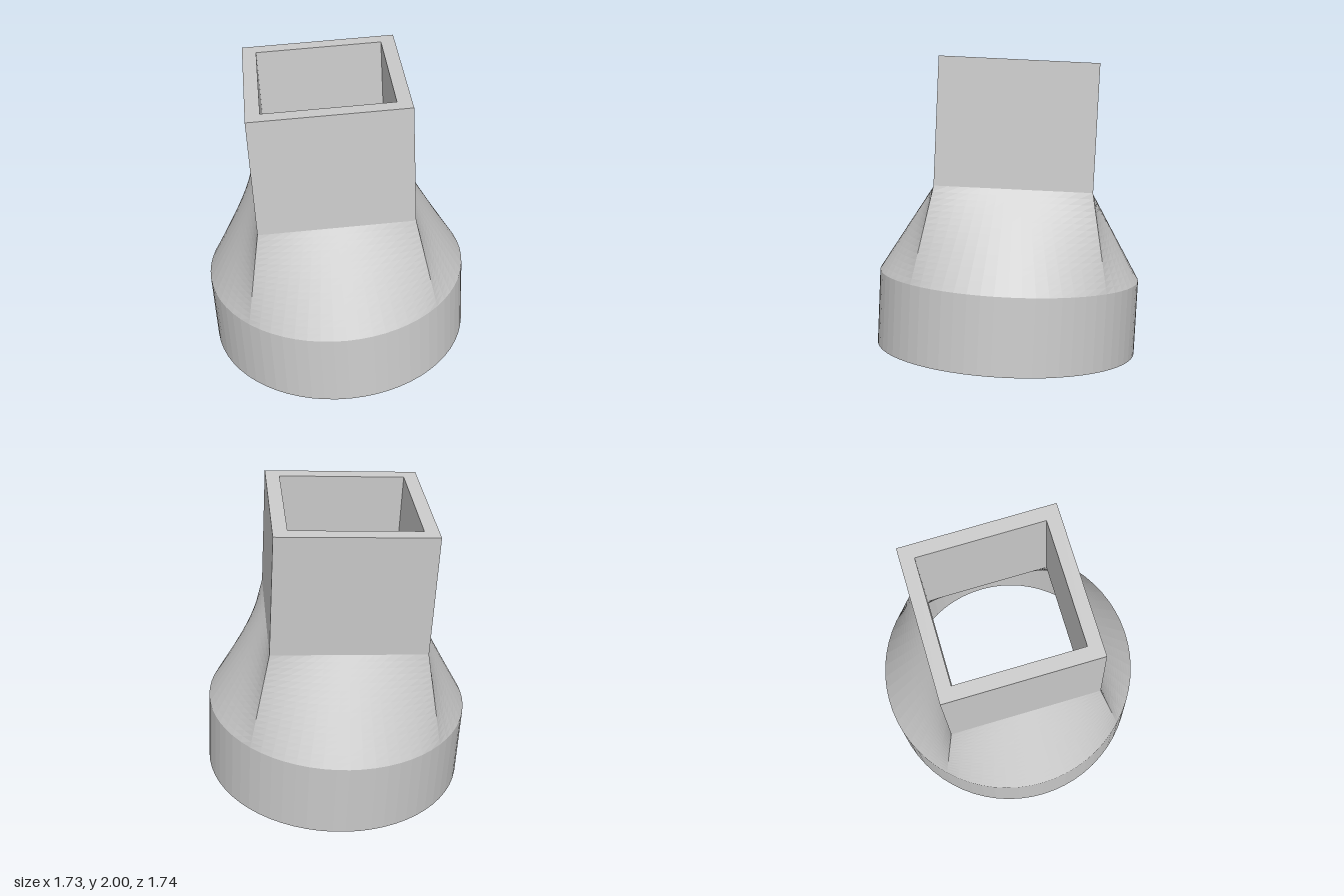
import * as THREE from 'three';

const SEGMENTS = 64, STEPS = 16;
const WALL = 0.09, RADIUS = 0.857, HALF = 0.495;
const COLLAR_TOP = 0.49, SQUARE_BASE = 1.1, TOP = 1.9;
const material = new THREE.MeshStandardMaterial({ color: 0xcccccc, flatShading: true });

function addPart(group, name, geometry) {
  const mesh = new THREE.Mesh(geometry, material);
  mesh.name = name;
  group.add(mesh);
}

// Hollow wall turned from [radius, height] pairs
function turned(profile, sides, start = 0) {
  return new THREE.LatheGeometry(profile.map(([r, y]) => new THREE.Vector2(r, y)), sides, start);
}

// Straight blend from a circle up to a square, for both skins of the wall
function circleToSquare() {
  const positions = [], index = [];
  for (const inset of [0, WALL]) {
    const base = positions.length / 3;
    for (let j = 0; j <= STEPS; j++) {
      const t = j / STEPS;
      for (let i = 0; i < SEGMENTS; i++) {
        const a = (i / SEGMENTS) * Math.PI * 2, s = Math.sin(a), c = Math.cos(a);
        const square = (HALF - inset) / Math.max(Math.abs(s), Math.abs(c));
        const r = THREE.MathUtils.lerp(RADIUS - inset, square, t);
        positions.push(r * s, THREE.MathUtils.lerp(COLLAR_TOP, SQUARE_BASE, t), r * c);
      }
    }
    for (let j = 0; j < STEPS; j++) {
      for (let i = 0; i < SEGMENTS; i++) {
        const n = (i + 1) % SEGMENTS, row = base + j * SEGMENTS, up = row + SEGMENTS;
        const [l, r] = inset ? [n, i] : [i, n]; // inner skin faces inward
        index.push(row + l, row + r, up + r, row + l, up + r, up + l);
      }
    }
  }
  const geometry = new THREE.BufferGeometry();
  geometry.setAttribute('position', new THREE.Float32BufferAttribute(positions, 3));
  geometry.setIndex(index);
  geometry.computeVertexNormals();
  return geometry;
}

export function createModel() {
  const model = new THREE.Group();
  model.name = 'ductAdapter';
  const body = new THREE.Group();
  body.name = 'tiltedBody';
  model.add(body);

  // Round collar with its bottom rim
  const inner = RADIUS - WALL;
  addPart(body, 'roundCollar', turned(
    [[inner, COLLAR_TOP], [inner, 0], [RADIUS, 0], [RADIUS, COLLAR_TOP]], SEGMENTS));

  addPart(body, 'transition', circleToSquare());

  // Square duct with its top rim
  const outerCorner = HALF * Math.SQRT2, innerCorner = (HALF - WALL) * Math.SQRT2;
  addPart(body, 'squareDuct', turned(
    [[outerCorner, SQUARE_BASE], [outerCorner, TOP], [innerCorner, TOP], [innerCorner, SQUARE_BASE]],
    4, Math.PI / 4));

  // Slight lean and twist, resting on the lowest point of the collar
  const up = new THREE.Vector3(0, 1, 0);
  const axis = new THREE.Vector3(-0.048, 1, -0.048).normalize();
  body.quaternion.setFromUnitVectors(up, axis)
    .multiply(new THREE.Quaternion().setFromAxisAngle(up, -0.025));
  body.position.set(0.01, 0.058, 0.01);
  return model;
}
